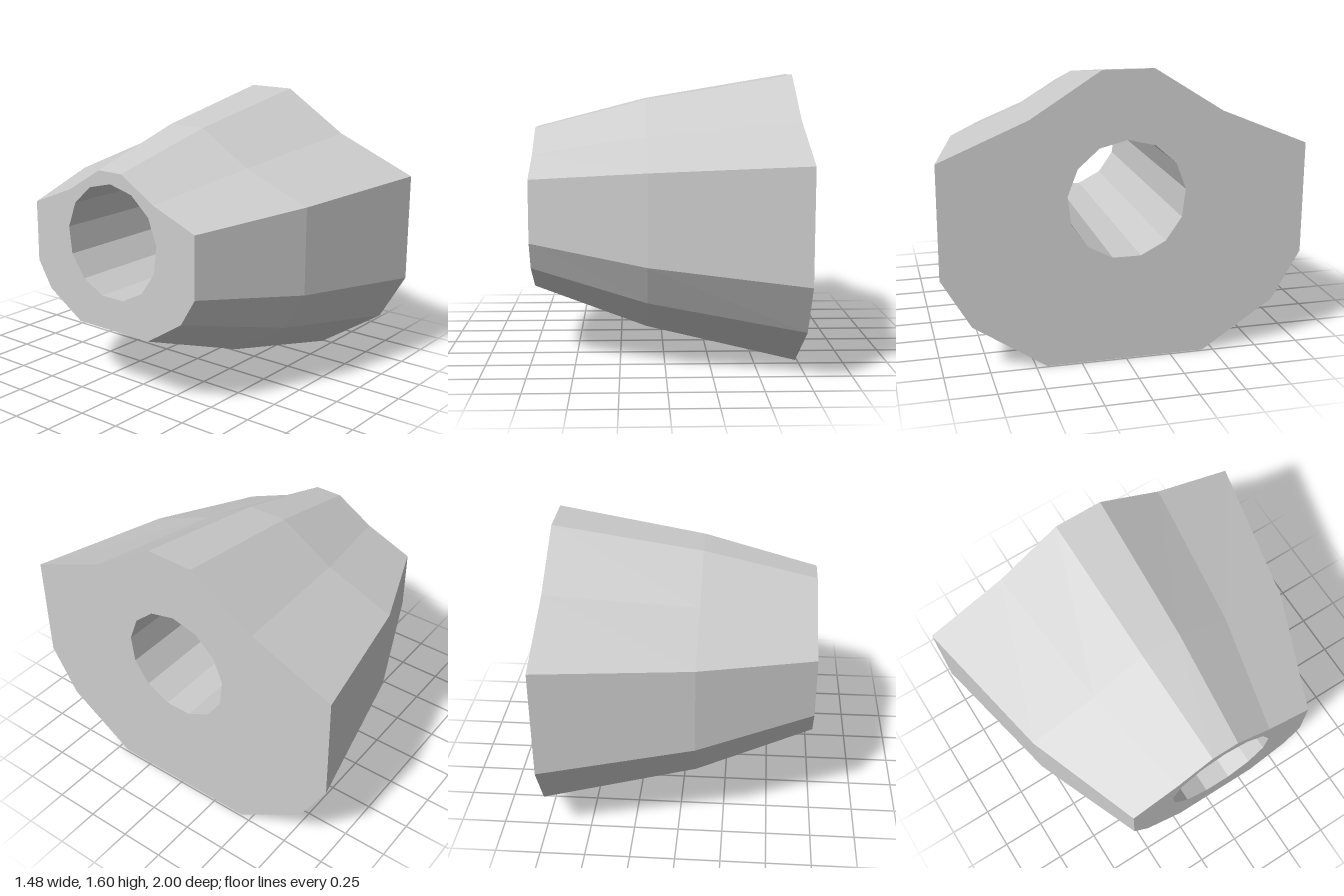
import * as THREE from 'three';

// Upper-to-lower half of the symmetric outline at the wide end: [half depth, height]
const HALF = [[0.14, 1.6], [0.52, 1.36], [1, 1.16], [1, 0.54], [0.84, 0.265], [0.44, 0]];
const AXIS_Y = 0.908;
// Cross-sections along the axis: x, depth scale, height scale
const SECTIONS = [[-0.74, 0.58, 0.56], [-0.1, 0.83, 0.797], [0.74, 1, 1]];

// Outline points (u = -z, v = y), counter-clockwise seen from +x
const outline = (sz, sy) => [
  ...HALF.map(([u, v]) => [-u, v]),
  ...[...HALF].reverse(),
].map(([u, v]) => new THREE.Vector2(u * sz, AXIS_Y + (v - AXIS_Y) * sy));

// Thirteen-sided bore with a corner at the top
const bore = Array.from({ length: 13 }, (_, i) => {
  const a = Math.PI / 2 + (i / 13) * Math.PI * 2;
  return new THREE.Vector2(Math.cos(a) * 0.325, 0.905 + Math.sin(a) * 0.325);
});

// Join matching rings, listed from low x to high x, into a faceted skin
function loft(rings) {
  const pos = [];
  for (let i = 0; i < rings.length - 1; i++) {
    const lo = rings[i], hi = rings[i + 1], n = lo.points.length;
    for (let j = 0; j < n; j++) {
      const k = (j + 1) % n;
      const at = (r, m) => [r.x, r.points[m].y, -r.points[m].x];
      const a = at(lo, j), b = at(lo, k), c = at(hi, k), d = at(hi, j);
      pos.push(...a, ...b, ...c, ...a, ...c, ...d);
    }
  }
  const g = new THREE.BufferGeometry();
  g.setAttribute('position', new THREE.Float32BufferAttribute(pos, 3));
  g.computeVertexNormals();
  return g;
}

export function createModel() {
  const model = new THREE.Group();
  model.name = 'taperedSleeve';
  const grey = new THREE.MeshStandardMaterial({ color: 0xcccccc, flatShading: true });
  grey.name = 'plain grey';
  const add = (name, geometry) => {
    const mesh = new THREE.Mesh(geometry, grey);
    mesh.name = name;
    model.add(mesh);
  };

  // Outer shell and inner wall
  add('outerShell', loft(SECTIONS.map(([x, sz, sy]) => ({ x, points: outline(sz, sy) }))));
  const inner = [...bore].reverse();
  add('boreWall', loft([{ x: -0.74, points: inner }, { x: 0.74, points: inner }]));

  // Flat pierced ends
  for (const [name, [x, sz, sy], dir] of [['wideEnd', SECTIONS[2], 1], ['narrowEnd', SECTIONS[0], -1]]) {
    const shape = new THREE.Shape(outline(sz, sy));
    shape.holes.push(new THREE.Path(bore));
    add(name, new THREE.ShapeGeometry(shape).rotateY(dir * Math.PI / 2).translate(x, 0, 0));
  }
  return model;
}
